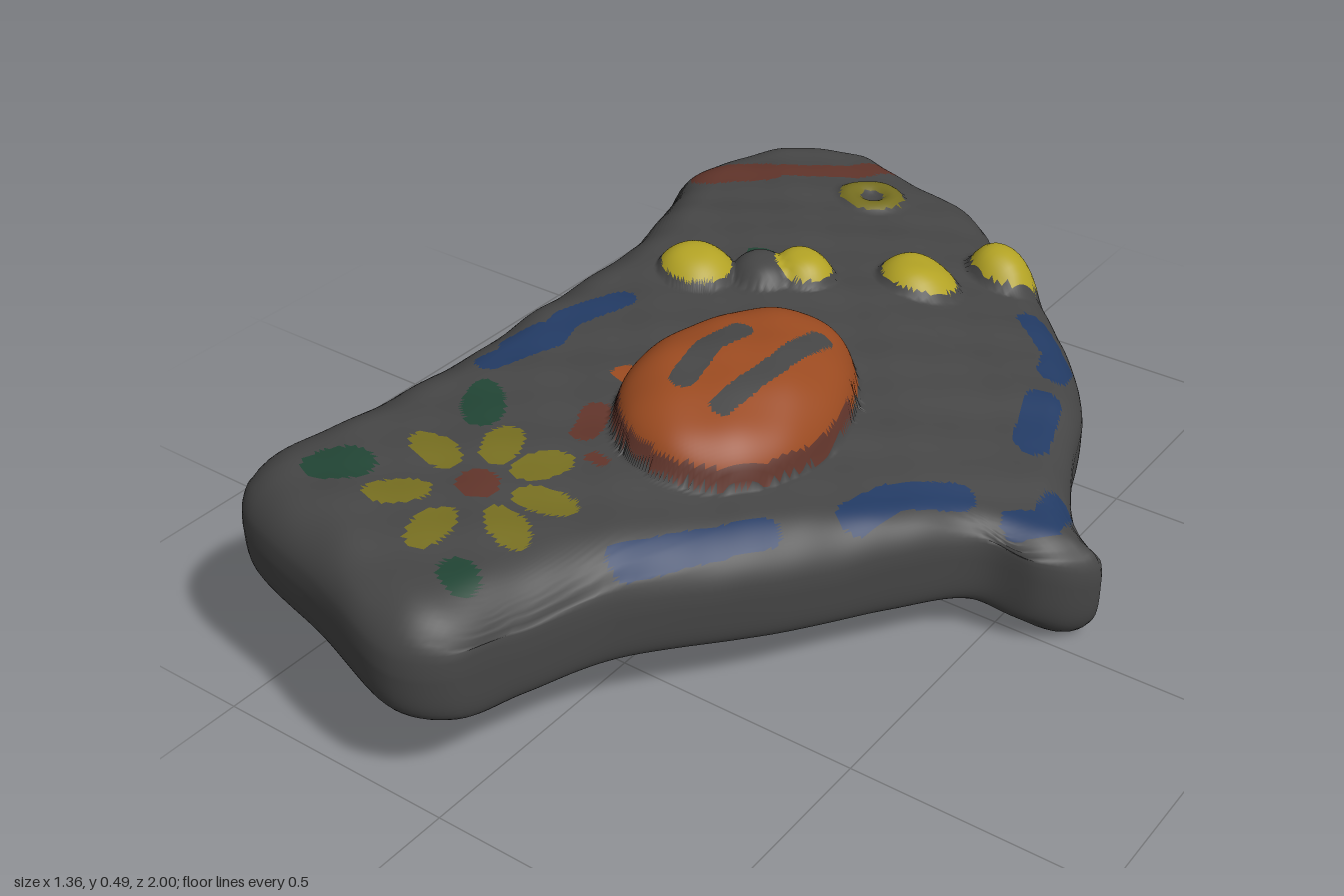
import * as THREE from 'three';

// Plan of the slab as [x, z], clockwise seen from above
const OUTLINE = [[-0.44, -1], [-0.33, -0.975], [-0.2, -0.955], [-0.12, -0.95], [-0.05, -0.9], [0.04, -0.81], [0.15, -0.76],
  [0.3, -0.62], [0.43, -0.45], [0.5, -0.28], [0.57, -0.15], [0.62, -0.1], [0.675, -0.08], [0.65, -0.02], [0.6, 0.025],
  [0.5, 0.06], [0.4, 0.2], [0.28, 0.4], [0.1, 0.66], [0.04, 0.83], [0, 0.95], [-0.08, 1], [-0.3, 0.95],
  [-0.53, 0.89], [-0.59, 0.8], [-0.56, 0.6], [-0.54, 0.3], [-0.55, 0], [-0.56, -0.25], [-0.62, -0.44],
  [-0.68, -0.6], [-0.67, -0.75], [-0.6, -0.9]];
const CENTER = [-0.15, 0];
const SIDES = 360, RINGS = 95, WALL = 14;

// Raised knobs: x, z, radius, height
const KNOBS = [[-0.34, -0.19, 0.072, 0.045], [-0.17, -0.33, 0.06, 0.045], [0.005, -0.5, 0.078, 0.045], [0.105, -0.69, 0.072, 0.06]];
const LUMP = [-0.23, -0.27, 0.06, 0.035];
const RING = [-0.27, -0.745];

// Painted strokes: width followed by path points
const BLUE = [
  [0.03, [-0.385, 0], [-0.42, 0.13], [-0.4, 0.2], [-0.43, 0.34]],
  [0.042, [-0.415, 0.2], [-0.425, 0.26]],
  [0.032, [0.24, -0.57], [0.34, -0.5], [0.36, -0.44]],
  [0.036, [0.4, -0.33], [0.44, -0.21]],
  [0.03, [0.56, -0.1], [0.57, -0.04], [0.53, 0]],
  [0.034, [0.42, 0.03], [0.34, 0.13], [0.32, 0.22]],
  [0.026, [0.23, 0.37], [0.16, 0.48], [0.09, 0.6]]];
const RED = [
  [0.032, [-0.33, -0.94], [-0.38, -0.84], [-0.48, -0.72]],
  [0.05, [-0.52, -0.67], [-0.59, -0.58]],
  [0.028, [-0.18, 0.33], [-0.16, 0.39]],
  [0.014, [-0.1, 0.44], [-0.08, 0.44]]];
const DISC_LINES = [
  [0.026, [-0.05, 0.06], [-0.06, 0.14], [-0.04, 0.25]],
  [0.022, [0.06, -0.05], [0.065, 0.1], [0.055, 0.26]]];
// Flower petals and leaves: x, z, half length, half width, direction
const FLOWER = [-0.2, 0.635];
const PETALS = [[-0.24, 0.525], [-0.15, 0.52], [-0.085, 0.59], [-0.085, 0.69], [-0.18, 0.775], [-0.29, 0.74], [-0.32, 0.61]]
  .map(([x, z]) => [x, z, 0.06, 0.036, Math.atan2(z - FLOWER[1], x - FLOWER[0])]);
const LEAVES = [[-0.35, 0.45, 0.075, 0.04, 0.9], [-0.42, 0.75, 0.065, 0.048, -0.8],
  [-0.065, 0.835, 0.045, 0.035, 0.6], [-0.27, -0.33, 0.04, 0.025, 0]];

const hyp = Math.hypot;

function onStrokes(strokes, x, z) {
  return strokes.some(([w, ...p]) => p.slice(1).some((b, i) => {
    const a = p[i], dx = b[0] - a[0], dz = b[1] - a[1];
    const t = THREE.MathUtils.clamp(((x - a[0]) * dx + (z - a[1]) * dz) / (dx * dx + dz * dz), 0, 1);
    return hyp(x - a[0] - t * dx, z - a[1] - t * dz) < w;
  }));
}

function inOvals(ovals, x, z) {
  return ovals.some(([cx, cz, l, w, a]) => {
    const dx = x - cx, dz = z - cz, c = Math.cos(a), s = Math.sin(a);
    return hyp((dx * c + dz * s) / l, (dz * c - dx * s) / w) < 1;
  });
}

// 0 at the middle of the egg-shaped disc, 1 at its edge
function discRadius(x, z) {
  return hyp(x / (0.195 * (1 + 0.4 * (z - 0.12))), (z - 0.12) / 0.285);
}

// Height of the upper face
function topHeight(x, z) {
  let y = 0.375 - 0.17 * x - 0.12 * x * x - 0.1 * Math.max(0, -0.35 - z);
  y += 0.004 * Math.sin(17 * x + 5 * z) * Math.sin(19 * z - 4 * x) + 0.002 * Math.sin(41 * x) * Math.sin(37 * z);
  const e = discRadius(x, z);
  if (e < 1) y += 0.112 * Math.sqrt(1 - e ** 3);
  let bump = 0;
  for (const [kx, kz, r, h] of [...KNOBS, LUMP]) {
    const k = hyp(x - kx, z - kz) / (r * 1.15);
    if (k < 1) bump = Math.max(bump, h * (1 - k ** 3));
  }
  const q = (hyp(x - RING[0], z - RING[1]) - 0.048) / 0.03;
  return y + bump + (Math.abs(q) < 1 ? 0.015 * (1 - q * q) : 0);
}

// Radius of the rounded upper edge, tighter towards the pointed side
const roundAt = (x) => 0.105 - 0.04 * THREE.MathUtils.smoothstep(x, 0.1, 0.5);

// Closeness to the pointed side
const tipAt = (x, z) => Math.exp(-((x - 0.62) ** 2 / 0.03 + (z + 0.05) ** 2 / 0.006));

// Height of the open lower rim, dipping at the pointed side
const rimHeight = (x, z) => 0.14 - 0.12 * x + 0.02 * z - 0.07 * tipAt(x, z);

// Which part a point of the upper face belongs to
function partAt(x, z) {
  const e = discRadius(x, z);
  if (e < 1) {
    if (onStrokes(DISC_LINES, x, z)) return 'slab';
    return e > 0.95 && z > 0 ? 'redPaint' : 'disc';
  }
  if (KNOBS.some(([kx, kz, r]) => hyp(x - kx, z - kz) < r)) return 'knobs';
  const q = hyp(x - RING[0], z - RING[1]);
  if (q < 0.07 && q > 0.026) return 'petals';
  if (hyp(x - FLOWER[0], z - FLOWER[1]) < 0.04 || onStrokes(RED, x, z)) return 'redPaint';
  if (hyp(x + 0.21, z - 0.2) < 0.03) return 'disc';
  if (inOvals(PETALS, x, z)) return 'petals';
  if (inOvals(LEAVES, x, z)) return 'leaves';
  return onStrokes(BLUE, x, z) ? 'bluePaint' : 'slab';
}

export function createModel() {
  const colors = {
    slab: ['charcoal', 0x454545], disc: ['orange', 0x9a4a20], knobs: ['yellow', 0xb2a224],
    petals: ['ochre', 0x756d20], leaves: ['green', 0x214434], bluePaint: ['blue', 0x223a63], redPaint: ['brick', 0x60342a],
  };
  const curve = new THREE.CatmullRomCurve3(OUTLINE.map(([x, z]) => new THREE.Vector3(x, 0, z)), true);
  const edge = curve.getSpacedPoints(SIDES).slice(0, SIDES);

  // Rings from the middle out over the rounded edge, then down the wall and curling under
  const pos = [];
  for (let i = 0; i <= RINGS + WALL; i++) {
    const u = Math.max(0, (i - RINGS) / WALL);
    for (const p of edge) {
      const s = i <= RINGS ? 1 - (1 - i / RINGS) ** 1.25 : 1 - (0.08 + 0.12 * tipAt(p.x, p.z)) * u ** 4;
      const x = CENTER[0] + (p.x - CENTER[0]) * s, z = CENTER[1] + (p.z - CENTER[1]) * s;
      let y;
      if (i <= RINGS) {
        const r = roundAt(x);
        let d = r;
        for (const o of edge) d = Math.min(d, hyp(x - o.x, z - o.z));
        y = topHeight(x, z) - r + Math.sqrt(Math.max(0, r ** 2 - (r - d) ** 2));
      } else {
        y = THREE.MathUtils.lerp(topHeight(p.x, p.z) - roundAt(p.x), rimHeight(x, z), Math.sin(u * Math.PI / 2));
      }
      pos.push(x, y, z);
    }
  }

  // Sort the faces into parts
  const faces = Object.fromEntries(Object.keys(colors).map((k) => [k, []]));
  const all = [];
  const addFace = (a, b, c, wall) => {
    const mid = (k) => (pos[a * 3 + k] + pos[b * 3 + k] + pos[c * 3 + k]) / 3;
    faces[wall ? 'slab' : partAt(mid(0), mid(2))].push(a, b, c);
    all.push(a, b, c);
  };
  for (let i = 0; i < RINGS + WALL; i++) {
    for (let j = 0; j < SIDES; j++) {
      const k = (j + 1) % SIDES, a = i * SIDES, b = a + SIDES;
      addFace(a + j, b + k, b + j, i >= RINGS);
      if (i > 0) addFace(a + j, a + k, b + k, i >= RINGS);
    }
  }

  // Shared smooth normals, one mesh per part
  const shell = new THREE.BufferGeometry();
  shell.setAttribute('position', new THREE.Float32BufferAttribute(pos, 3));
  shell.setIndex(all);
  shell.computeVertexNormals();
  shell.computeBoundingBox();
  const group = new THREE.Group();
  group.name = 'paintedSlab';
  for (const [part, [name, color]] of Object.entries(colors)) {
    const geometry = new THREE.BufferGeometry();
    geometry.setAttribute('position', shell.attributes.position);
    geometry.setAttribute('normal', shell.attributes.normal);
    geometry.setIndex(faces[part]);
    const material = new THREE.MeshStandardMaterial({ color, side: THREE.DoubleSide });
    material.name = name;
    const mesh = new THREE.Mesh(geometry, material);
    mesh.name = part;
    mesh.position.y = -shell.boundingBox.min.y;
    group.add(mesh);
  }
  return group;
}
